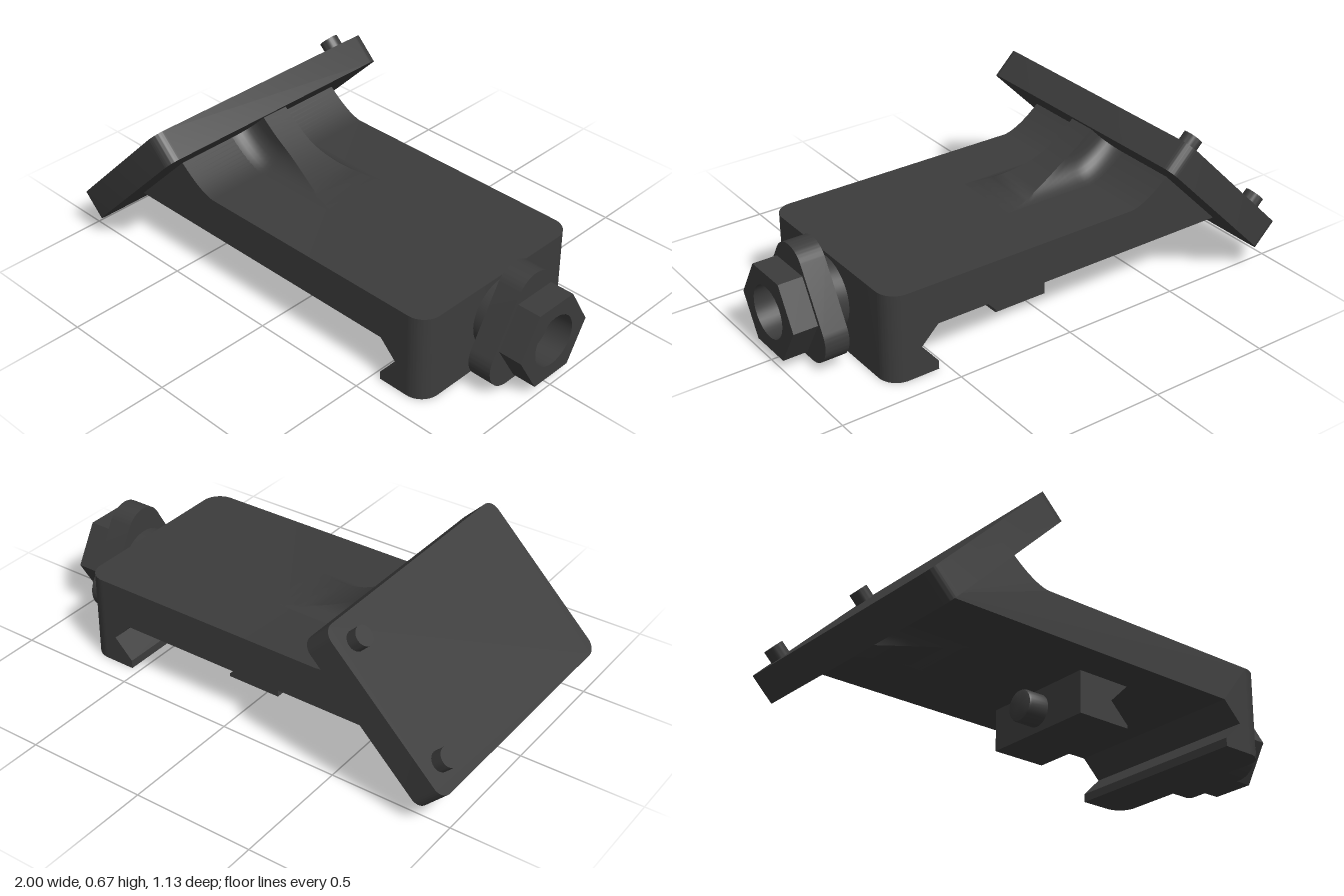
import * as THREE from 'three';
import { toCreasedNormals } from 'three/addons/utils/BufferGeometryUtils.js';

const dark = new THREE.MeshStandardMaterial({ color: 0x3c3c3c });
dark.name = 'dark grey';

function part(name, geo, parent) {
  const mesh = new THREE.Mesh(toCreasedNormals(geo, 0.6), dark);
  mesh.name = name;
  parent.add(mesh);
  return mesh;
}

const polygon = pts => new THREE.Shape(pts.map(p => new THREE.Vector2(...p)));
const extrude = (shape, depth) =>
  new THREE.ExtrudeGeometry(shape, { depth, bevelEnabled: false, curveSegments: 16 });

function roundedRect(w, h, r) {
  const s = new THREE.Shape(), x = w / 2, y = h / 2;
  s.absarc(x - r, y - r, r, 0, Math.PI / 2);
  s.absarc(-x + r, y - r, r, Math.PI / 2, Math.PI);
  s.absarc(-x + r, -y + r, r, Math.PI, Math.PI * 1.5);
  s.absarc(x - r, -y + r, r, Math.PI * 1.5, Math.PI * 2);
  return s;
}

// Height of the body's upper surface, curving up towards the tilted plate
const bodyTop = x => 0.365 + 0.095 * Math.pow(Math.max(0, (-0.36 - x) / 0.17), 1.6);

// Rib with concave fillets at its foot, lofted along x; side is +1 for top, -1 for underside
function ribGeometry(x0, x1, base, height, side) {
  const half = 0.06, f = 0.1, steps = 8, stations = 32;
  const pos = [], idx = [], row = 2 * (steps + 2);
  for (let i = 0; i <= stations; i++) {
    const x = x0 + (x1 - x0) * i / stations;
    const h = Math.max(0, height(x)), b = base(x);
    const pts = [];
    for (let k = 0; k <= steps; k++) {
      const t = Math.min(h, f) * (k / steps) ** 2;
      pts.push([half + f - Math.sqrt(f * f - (f - t) ** 2), t]);
    }
    pts.push([pts[steps][0], h]);
    const all = [...pts.map(([z, t]) => [-z, t]), ...pts.reverse()];
    all.forEach(([z, t]) => pos.push(x, b + side * (t - 0.001), z));
  }
  for (let i = 0; i < stations; i++) for (let j = 0; j < row - 1; j++) {
    const a = i * row + j, b = a + 1, c = a + row, d = c + 1;
    if (side > 0) idx.push(a, b, c, b, d, c);
    else idx.push(a, c, b, b, c, d);
  }
  const g = new THREE.BufferGeometry();
  g.setAttribute('position', new THREE.Float32BufferAttribute(pos, 3));
  g.setIndex(idx);
  return g;
}

export function createModel() {
  const model = new THREE.Group();
  model.name = 'angledRailMount';

  // Body with the fixed jaw
  const body = [[0.665, 0], [0.665, 0.365]];
  for (let i = 0; i <= 12; i++) {
    const x = -0.36 - 0.17 * i / 12;
    body.push([x, bodyTop(x)]);
  }
  body.push([-0.58, 0.46], [-0.84, 0.195], [0.535, 0.195], [0.615, 0.115], [0.535, 0.035], [0.535, 0]);
  part('body', extrude(polygon(body), 0.82).translate(0, 0, -0.41), model);

  // Body end with rounded upright corners
  const end = new THREE.Shape();
  end.moveTo(0.665, -0.41);
  end.absarc(0.665, -0.33, 0.08, -Math.PI / 2, 0);
  end.absarc(0.665, 0.33, 0.08, 0, Math.PI / 2);
  part('bodyEnd', extrude(end, 0.365).rotateX(-Math.PI / 2), model);

  // Reinforcing ribs above and below the arm
  const topHeight = x => Math.min(
    0.365 + 0.185 * Math.pow((0.1 - x) / 0.535, 2.6), x + 1.08) - bodyTop(x);
  part('upperRib', ribGeometry(-0.56, 0.1, bodyTop, topHeight, 1), model);
  const lowHeight = x => 0.085 * Math.pow((-0.45 - x) / 0.44, 1.4);
  part('lowerRib', ribGeometry(-0.89, -0.451, () => 0.195, lowHeight, -1), model);

  // Sliding jaw and its bolt head
  const jaw = polygon([[-0.07, 0.022], [0.165, 0.022], [0.165, 0.035], [0.085, 0.115],
    [0.165, 0.195], [-0.07, 0.195]]);
  part('slidingJaw', extrude(jaw, 0.5).translate(0, 0, -0.25), model);
  const bolt = [[0, 0.09], [0.052, 0.09], [0.061, 0.086], [0.065, 0.077], [0.065, 0]]
    .reverse().map(p => new THREE.Vector2(...p));
  part('boltHead', new THREE.LatheGeometry(bolt, 32).rotateZ(Math.PI / 2).translate(-0.07, 0.11, 0), model);

  // Tightening knob: collar, three-lobed flange and hollow hex nut
  const knob = new THREE.Group();
  knob.name = 'knob';
  knob.position.set(0.745, 0.205, 0);
  model.add(knob);
  part('collar', new THREE.CylinderGeometry(0.145, 0.145, 0.06, 40).rotateZ(Math.PI / 2).translate(0.028, 0, 0), knob);
  const lobes = new THREE.Shape();
  for (let i = 0; i < 3; i++) {
    const a = Math.PI / 2 + i * Math.PI * 2 / 3;
    lobes.absarc(0.15 * Math.cos(a), 0.15 * Math.sin(a), 0.1, a - Math.PI / 3, a + Math.PI / 3);
  }
  part('flange', extrude(lobes, 0.1).rotateY(Math.PI / 2).translate(0.055, 0, 0), knob);
  const hex = polygon([0, 1, 2, 3, 4, 5].map(i =>
    [0.185 * Math.cos(i * Math.PI / 3), 0.185 * Math.sin(i * Math.PI / 3)]));
  hex.holes.push(new THREE.Path().absarc(0, 0, 0.105, 0, Math.PI * 2, true));
  part('hexNut', extrude(hex, 0.1).rotateY(Math.PI / 2).translate(0.155, 0, 0), knob);

  // Tilted mounting plate with two locating pegs
  const mount = new THREE.Group();
  mount.name = 'tiltedMount';
  const s = Math.SQRT1_2;
  mount.quaternion.setFromRotationMatrix(new THREE.Matrix4().makeBasis(
    new THREE.Vector3(s, s, 0), new THREE.Vector3(0, 0, -1), new THREE.Vector3(-s, s, 0)));
  mount.position.set(-0.75, 0.416, 0);
  model.add(mount);
  part('plate', extrude(roundedRect(0.71, 1.13, 0.05), 0.124).translate(0, 0, -0.124), mount);
  for (const u of [-0.25, 0.257]) {
    part('peg', new THREE.CylinderGeometry(0.04, 0.04, 0.06, 24).rotateX(Math.PI / 2), mount)
      .position.set(u, 0.467, 0.02);
  }
  return model;
}
